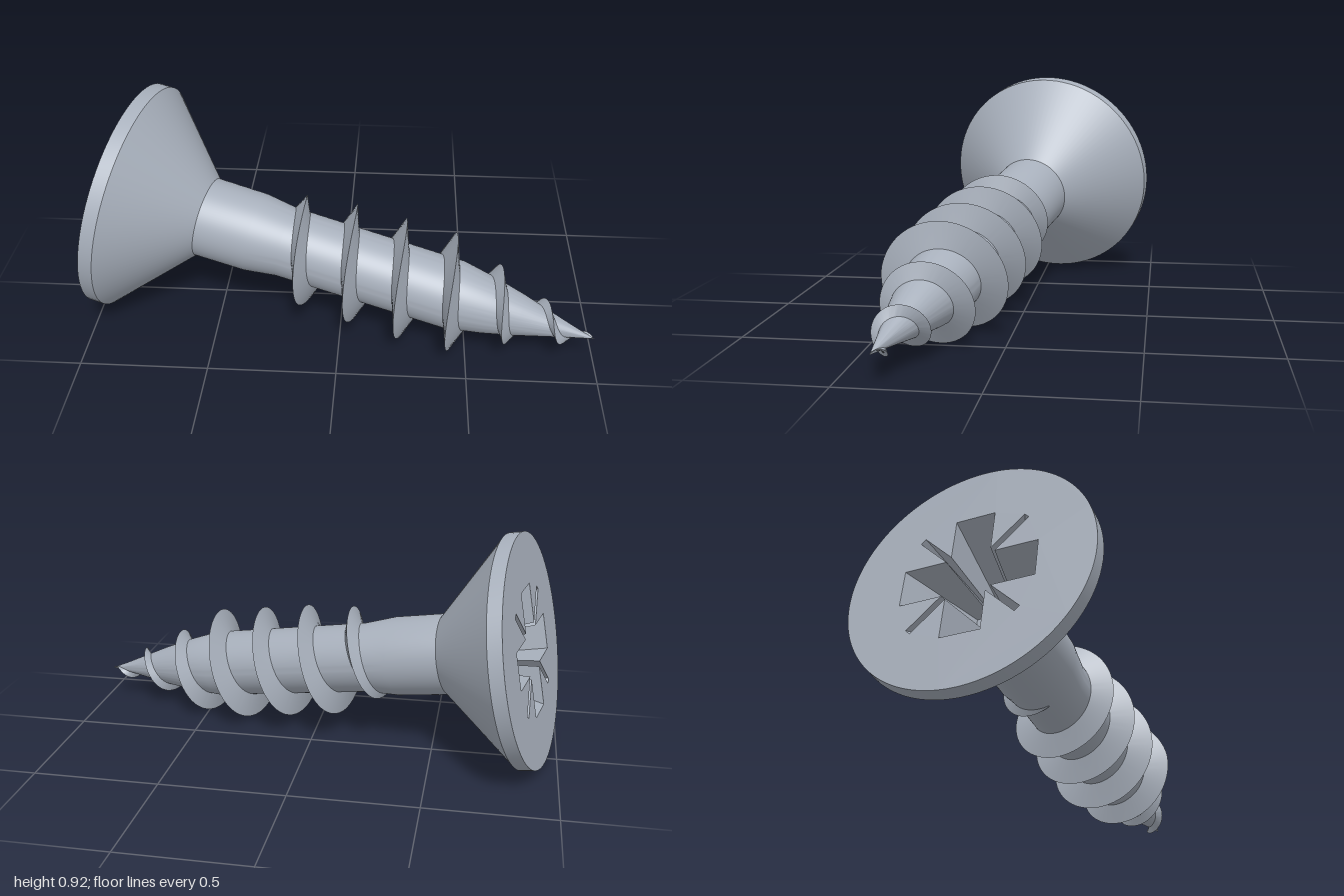
import * as THREE from 'three';
import { toCreasedNormals } from 'three/addons/utils/BufferGeometryUtils.js';

const LENGTH = 1.943;

// Core profile past the head: [distance along axis, radius]
const CORE = [[0.34, 0.162], [0.55, 0.16], [0.68, 0.142], [1.38, 0.138], [1.52, 0.112],
  [1.64, 0.083], [1.75, 0.052], [1.85, 0.024], [LENGTH, 0]];
// Thread crest radius along the axis
const CREST = [[0.61, 0.15], [0.64, 0.175], [0.72, 0.212], [0.83, 0.23], [1.38, 0.236], [1.44, 0.205],
  [1.53, 0.163], [1.645, 0.116], [1.745, 0.086], [1.85, 0.052], [1.935, 0.006]];

function sample(table, t) {
  for (let i = 1; i < table.length; i++) {
    const [t0, r0] = table[i - 1], [t1, r1] = table[i];
    if (t <= t1) return r0 + (r1 - r0) * Math.max(0, (t - t0) / (t1 - t0));
  }
  return table[table.length - 1][1];
}

function lathe(points) {
  const geo = new THREE.LatheGeometry(points.map(([t, r]) => new THREE.Vector2(r, t)), 96);
  return toCreasedNormals(geo, 0.5);
}

// Cross with a thin diagonal slot in each corner, counter-clockwise
function recessOutline(w, reach, slot, s) {
  const a = (slot + s) / Math.SQRT2, b = (slot - s) / Math.SQRT2, c = w + s * Math.SQRT2;
  const quarter = [[reach, -w], [reach, w], [c, w], [a, b], [b, a], [w, c]];
  const points = [];
  for (let q = 0; q < 4; q++) {
    for (const [x, y] of quarter) {
      points.push(new THREE.Vector2(x, y).rotateAround(new THREE.Vector2(), q * Math.PI / 2));
    }
  }
  return points;
}

// Walls between the outline at the face and the smaller one at the bottom
function recessWalls(outer, inner, depth) {
  const pos = [];
  outer.forEach((p0, i) => {
    const k = (i + 1) % outer.length;
    const p1 = outer[k], q0 = inner[i], q1 = inner[k];
    pos.push(p0.x, p0.y, 0, p1.x, p1.y, 0, q1.x, q1.y, -depth);
    pos.push(p0.x, p0.y, 0, q1.x, q1.y, -depth, q0.x, q0.y, -depth);
  });
  const geo = new THREE.BufferGeometry();
  geo.setAttribute('position', new THREE.Float32BufferAttribute(pos, 3));
  geo.computeVertexNormals();
  return geo;
}

// Sharp helical ridge that grows from the shank and fades into the tip
function threadGeometry() {
  const pitch = 0.204, start = CREST[0][0], end = CREST[CREST.length - 1][0];
  const steps = 560, pos = [], index = [];
  for (let i = 0; i <= steps; i++) {
    const t = start + (end - start) * i / steps;
    const angle = 2 * Math.PI * (t - 1.336) / pitch;
    const crest = sample(CREST, t);
    const half = Math.min(0.032, 0.008 + 0.4 * Math.max(0, crest - sample(CORE, t)));
    for (const side of [-1, 0, 1]) {
      const y = Math.min(t + side * half, LENGTH);
      const r = side ? Math.max(0, sample(CORE, y) - 0.004) : crest;
      pos.push(r * Math.sin(angle), y, r * Math.cos(angle));
    }
  }
  for (let i = 0; i < steps; i++) {
    for (let j = 0; j < 2; j++) {
      const a = i * 3 + j, b = a + 3;
      index.push(a, b, a + 1, b, b + 1, a + 1);
    }
  }
  const geo = new THREE.BufferGeometry();
  geo.setAttribute('position', new THREE.Float32BufferAttribute(pos, 3));
  geo.setIndex(index);
  return toCreasedNormals(geo, 0.6);
}

export function createModel() {
  const steel = new THREE.MeshStandardMaterial({ color: 0xa8b0bc });
  steel.name = 'steel';
  const model = new THREE.Group();
  model.name = 'woodScrew';
  const screw = new THREE.Group();
  screw.name = 'tiltedScrew';
  model.add(screw);

  const add = (name, geo) => {
    const mesh = new THREE.Mesh(geo, steel);
    mesh.name = name;
    screw.add(mesh);
  };

  // Countersunk head and tapering shank
  add('head', lathe([[0, 0.46], [0.056, 0.46], [0.34, 0.162]]));
  add('shank', lathe(CORE));
  add('thread', threadGeometry());

  // Flat face with the tapered driver recess
  const depth = 0.28;
  const outer = recessOutline(0.074, 0.25, 0.28, 0.012);
  const inner = recessOutline(0.04, 0.11, 0.12, 0.008);
  const face = new THREE.Shape().absarc(0, 0, 0.46, 0, Math.PI * 2, false);
  face.holes.push(new THREE.Path(outer));
  add('headFace', new THREE.ShapeGeometry(face, 96).rotateX(Math.PI / 2));
  add('recessWalls', recessWalls(outer, inner, depth).rotateX(Math.PI / 2));
  const floor = new THREE.ShapeGeometry(new THREE.Shape(inner)).translate(0, 0, -depth);
  add('recessFloor', floor.rotateX(Math.PI / 2));

  // Lay the screw along its slanted axis, local y running from head to tip
  const axis = new THREE.Vector3(0.962, -0.182, 0.202).normalize();
  const up = new THREE.Vector3(0, 1, 0).addScaledVector(axis, -axis.y).normalize();
  const side = new THREE.Vector3().crossVectors(axis, up);
  screw.quaternion.setFromRotationMatrix(new THREE.Matrix4().makeBasis(side, axis, up));
  screw.position.set(-0.875, 0.463, -0.026);
  return model;
}
